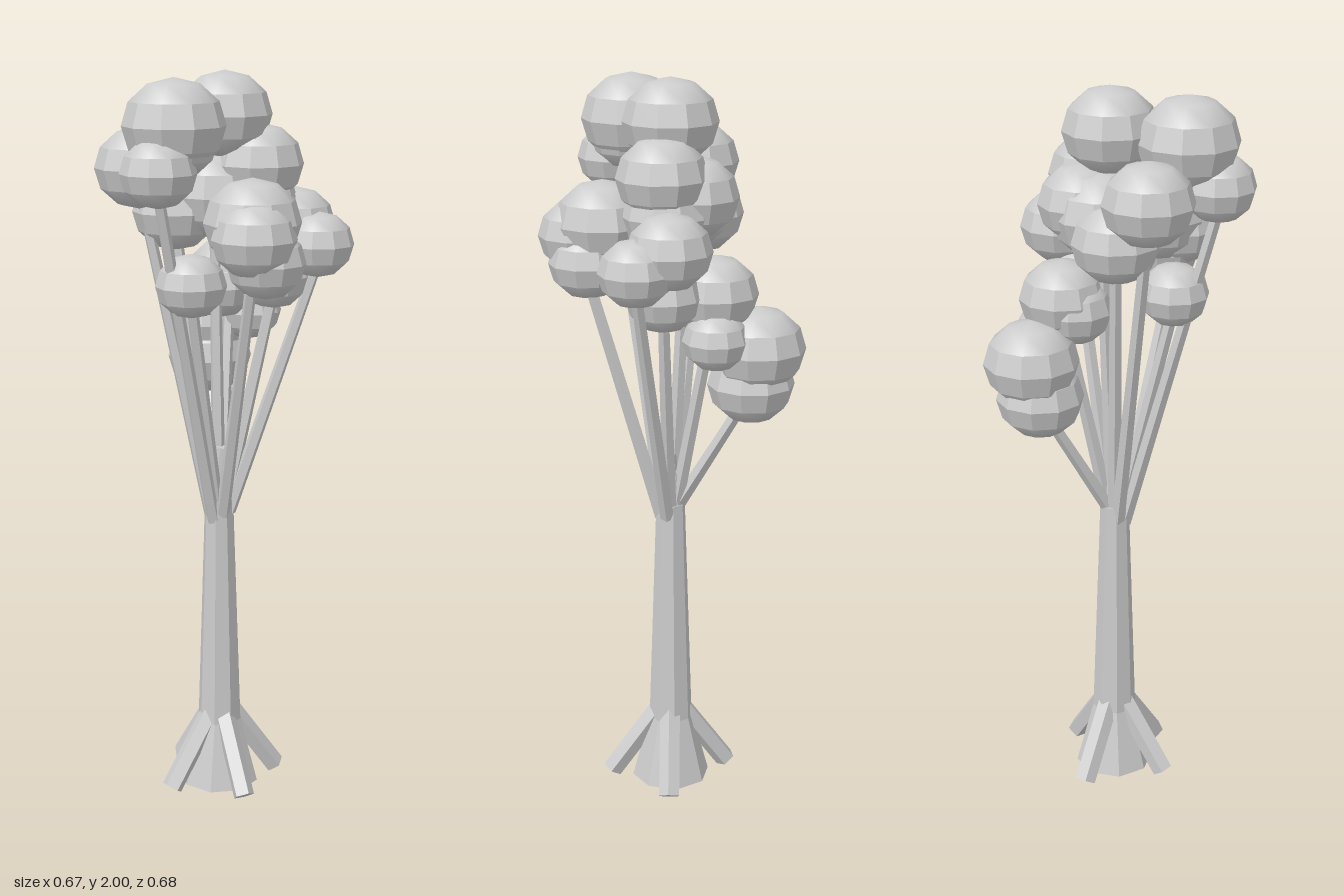
import * as THREE from 'three';

const grey = new THREE.MeshStandardMaterial({ color: 0xcccccc });
grey.name = 'light grey';

// Ten-sided ball, a little flattened: faceted bands round the middle, smooth caps
function ballGeometry() {
  const g = new THREE.SphereGeometry(1, 10, 6).toNonIndexed();
  const p = g.attributes.position, n = g.attributes.normal;
  const v = [0, 1, 2].map(() => new THREE.Vector3());
  const tri = new THREE.Triangle(), normal = new THREE.Vector3();
  for (let i = 0; i < p.count; i += 3) {
    v.forEach((c, k) => c.fromBufferAttribute(p, i + k));
    if (v.some(c => Math.abs(c.y) > 0.52)) continue;
    tri.set(...v).getNormal(normal);
    for (let k = 0; k < 3; k++) n.setXYZ(i + k, normal.x, normal.y, normal.z);
  }
  return g.scale(1, 0.9, 1);
}

// Faceted tapered rod between two points
function rod(name, from, to, r0, r1, sides) {
  const a = new THREE.Vector3(...from), b = new THREE.Vector3(...to);
  const dir = b.clone().sub(a);
  const g = new THREE.CylinderGeometry(r1, r0, dir.length(), sides).toNonIndexed();
  g.computeVertexNormals();
  const m = new THREE.Mesh(g, grey);
  m.name = name;
  m.position.copy(a).add(b).multiplyScalar(0.5);
  m.quaternion.setFromUnitVectors(new THREE.Vector3(0, 1, 0), dir.normalize());
  return m;
}

// Foliage balls: x, y, z, radius, and 1 where a branch carries the ball
const balls = [
  [-0.17, 1.87, 0.073, 0.134, 0], [0.025, 1.887, 0.003, 0.126, 0],
  [-0.165, 1.83, 0.08, 0.104, 0], [-0.238, 1.757, 0.11, 0.099, 1],
  [0.108, 1.757, 0.04, 0.12, 0], [0.222, 1.592, 0.042, 0.111, 0],
  [0.238, 1.545, 0.13, 0.098, 1], [0, 1.625, 0.178, 0.128, 0],
  [-0.03, 1.59, 0.233, 0.111, 1], [0.015, 1.525, 0.22, 0.104, 0],
  [-0.125, 1.458, 0.08, 0.094, 1], [0.155, 1.458, 0.045, 0.1, 1],
  [0.118, 1.3, -0.215, 0.127, 0], [0.103, 1.2, -0.2, 0.117, 1],
  [0.165, 1.34, -0.09, 0.088, 0], [0.105, 1.45, -0.1, 0.115, 1],
  [0.07, 1.42, -0.09, 0.1, 0], [-0.173, 1.75, -0.1, 0.12, 1],
  [-0.068, 1.63, -0.095, 0.116, 1], [0.02, 1.675, -0.04, 0.132, 1],
  [0.1, 1.66, 0.03, 0.117, 0], [0.075, 1.7, -0.05, 0.118, 0],
];

export function createModel() {
  const tree = new THREE.Group();
  tree.name = 'tree';

  // Trunk, with a flared foot and a short stub above the fork
  tree.add(rod('trunk', [0.012, 0.1, 0], [0.01, 0.84, 0], 0.064, 0.04, 8));
  tree.add(rod('trunkFoot', [0.012, 0.005, 0], [0.012, 0.21, 0], 0.11, 0.056, 8));
  tree.add(rod('trunkStub', [0.01, 0.8, 0], [0.022, 0.99, 0.01], 0.038, 0.026, 6));

  // Four splayed roots, each turned slightly off the axes
  [0.2, 0.14, -0.09, -0.13].forEach((turn, i) => {
    const a = i * Math.PI / 2 + turn, c = Math.cos(a), s = Math.sin(a);
    tree.add(rod('root', [0.012 + 0.168 * c, 0.018, 0.168 * s],
      [0.012 + 0.03 * c, 0.215, 0.03 * s], 0.03, 0.03, 5));
  });

  // Foliage and the branches that carry it; lower balls fork off higher
  const geo = ballGeometry();
  const foliage = new THREE.Group(), branches = new THREE.Group();
  foliage.name = 'foliage';
  branches.name = 'branches';
  balls.forEach(([x, y, z, r, carried]) => {
    const ball = new THREE.Mesh(geo, grey);
    ball.name = 'foliageBall';
    ball.position.set(x, y, z);
    ball.scale.setScalar(r);
    ball.rotation.y = Math.PI / 18;
    foliage.add(ball);
    if (carried) {
      const start = [0.01 + x * 0.1, 0.78 + (1.8 - y) * 0.1, z * 0.1];
      branches.add(rod('branch', start, [x * 1.06, y, z * 1.06], 0.02, 0.015, 5));
    }
  });
  tree.add(foliage, branches);
  return tree;
}
